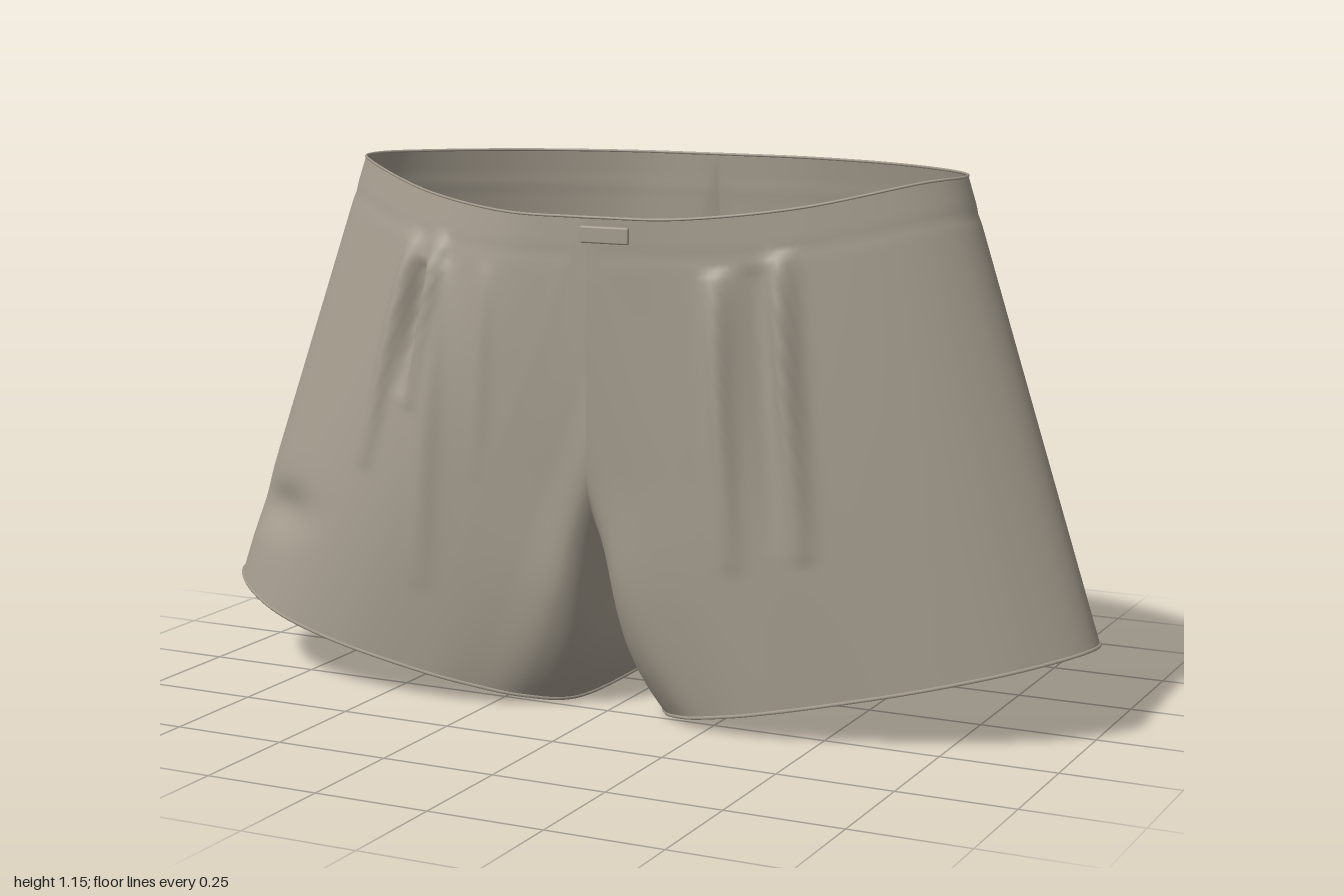
import * as THREE from 'three';
import { mergeVertices, mergeGeometries } from 'three/addons/utils/BufferGeometryUtils.js';
import { RoundedBoxGeometry } from 'three/addons/geometries/RoundedBoxGeometry.js';

const V = (x, y, z) => new THREE.Vector3(x, y, z);
const { smoothstep, lerp } = THREE.MathUtils;

// Waist height dips toward the front
const waistY = z => 1.155 - 0.083 * smoothstep(z, 0.08, 0.35);
// Hem height rises toward the outside of the leg
const hemY = x => x < 0.1 ? 0.026 : 0.004 + 0.196 * Math.pow(Math.min(1, (x - 0.07) / 0.93), 1.15);

// Half waist as [x, z], from back centre around the side to front centre
const WAIST = [[0, -0.3], [0.22, -0.29], [0.45, -0.22], [0.63, -0.1], [0.7, 0.02],
  [0.64, 0.13], [0.43, 0.245], [0.2, 0.325], [0, 0.345]];
// Centre seam as [y, z], from front waist through the crotch to back waist
const SEAM = [[waistY(0.345), 0.345], [0.76, 0.346], [0.5, 0.335], [0.34, 0.22], [0.27, 0],
  [0.33, -0.21], [0.48, -0.31], [0.8, -0.334], [waistY(-0.3), -0.3]];
// Leg openings as [x, z]: back, side, front, then the shared inner half
const INNER = [[0.19, 0.28], [0.105, 0.19], [0.06, 0], [0.105, -0.19], [0.19, -0.295], [0.27, -0.335]];
const HEM = {
  left: [[0.36, -0.36], [0.53, -0.335], [0.72, -0.27], [0.9, -0.155], [1, 0], [0.9, 0.14],
    [0.72, 0.235], [0.53, 0.285], [0.38, 0.31], [0.28, 0.305], ...INNER],
  right: [[0.36, -0.35], [0.53, -0.31], [0.74, -0.225], [0.93, -0.08], [1, 0.09], [0.95, 0.215],
    [0.8, 0.32], [0.62, 0.355], [0.42, 0.345], [0.3, 0.32], ...INNER],
};

const curve = (pts, closed = false) => new THREE.CatmullRomCurve3(pts, closed, 'catmullrom', 0.5);
const waistCurve = curve(WAIST.map(([x, z]) => V(x, waistY(z), z)));
const seamCurve = curve(SEAM.map(([y, z]) => V(0, y, z)));
const hemCurve = keys => curve(keys.map(([x, z]) => V(x, hemY(x), z)), true);
const hemCurves = { left: hemCurve(HEM.left), right: hemCurve(HEM.right) };

// Gathered folds on the front: [x0, y0, x1, y1, depth, width]
const FOLDS = [
  [-0.45, 1.01, -0.55, 0.5, 0.03, 0.022], [-0.37, 1.01, -0.43, 0.64, 0.032, 0.02],
  [-0.36, 0.96, -0.4, 0.25, 0.018, 0.03], [-0.24, 0.96, -0.26, 0.5, 0.008, 0.02],
  [-0.41, 0.95, -0.45, 0.66, -0.03, 0.02],
  [0.4, 1.01, 0.47, 0.38, 0.032, 0.022], [0.28, 0.97, 0.32, 0.35, 0.026, 0.025],
  [0.35, 0.98, 0.41, 0.4, -0.012, 0.025],
];
function foldDepth(x, y) {
  let d = 0;
  for (const [x0, y0, x1, y1, depth, width] of FOLDS) {
    const t = (y0 - y) / (y0 - y1);
    if (t <= 0 || t >= 1) continue;
    const off = (x - lerp(x0, x1, t)) / width;
    d += depth * Math.pow(Math.sin(Math.PI * Math.pow(t, 0.6)), 0.7) * Math.exp(-off * off);
  }
  // Creased dent low on the right leg
  const a = (x + 0.82) / 0.1, b = y - 0.37 - 0.1 * (x + 0.82);
  d -= 0.03 * Math.exp(-a * a - (b / 0.05) ** 2);
  return d;
}

// Cloth point: u runs around the leg, v from hem to waist and centre seam
function clothPoint(side, u, v) {
  const s = side === 'left' ? 1 : -1;
  const top = u <= 0.5 ? waistCurve.getPoint(u * 2) : seamCurve.getPoint(u * 2 - 1);
  const p = hemCurves[side].getPoint(u % 1).lerp(top, v);
  const swell = Math.sin(Math.PI * v);
  // Legs round out toward each other below the crotch; the centre above stays smooth
  const inner = u > 0.5 ? Math.sin(Math.PI * (u * 2 - 1)) ** 2 : 0;
  const smooth = lerp(1, smoothstep(p.x, 0, 0.4), smoothstep(p.y, 0.25, 0.55));
  const puff = p.z < 0 ? -0.026 : 0.008 + 0.025 * inner;
  p.z += swell * smooth * puff * smoothstep(Math.abs(p.z), 0.08, 0.3);
  p.x *= 1 - 0.4 * swell * inner * (1 - smoothstep(p.y, 0.3, 0.55));
  // Stitched groove below the waistband
  const g = (p.y - waistY(p.z) + 0.08) / 0.012;
  const pinch = 1 - 0.003 * Math.exp(-g * g);
  p.x *= s * pinch;
  p.z *= pinch;
  if (p.z > 0.05) p.z += foldDepth(p.x, p.y) * smoothstep(p.z, 0.05, 0.18);
  return p;
}

// One half of the shorts as a grid of rings
function halfGeometry(side, nu = 240, nv = 84) {
  const pos = [], idx = [];
  for (let j = 0; j <= nv; j++)
    for (let i = 0; i <= nu; i++) pos.push(...clothPoint(side, i / nu, j / nv).toArray());
  for (let j = 0; j < nv; j++)
    for (let i = 0; i < nu; i++) {
      const a = j * (nu + 1) + i, b = a + 1, c = a + nu + 1, d = c + 1;
      if (side === 'left') idx.push(a, c, b, b, c, d);
      else idx.push(a, b, c, b, d, c);
    }
  const geo = new THREE.BufferGeometry();
  geo.setAttribute('position', new THREE.Float32BufferAttribute(pos, 3));
  geo.setIndex(idx);
  return geo;
}

export function createModel() {
  const model = new THREE.Group();
  model.name = 'shorts';
  const cloth = new THREE.MeshStandardMaterial({ color: 0xa39b8d, side: THREE.DoubleSide });
  cloth.name = 'taupe cloth';
  const add = (name, geo) => {
    const mesh = new THREE.Mesh(geo, cloth);
    mesh.name = name;
    model.add(mesh);
    return mesh;
  };

  // Body and legs, welded along the centre seam
  const body = mergeVertices(mergeGeometries([halfGeometry('left'), halfGeometry('right')]), 1e-5);
  body.computeVertexNormals();
  add('body', body);

  // Rolled edges of the leg openings
  for (const side of ['left', 'right']) {
    const pts = Array.from({ length: 64 }, (_, i) => clothPoint(side, i / 64, 0.003));
    add(side + 'Hem', new THREE.TubeGeometry(curve(pts, true), 128, 0.004, 6, true));
  }

  // Rolled edge of the waist
  const rim = [];
  for (let i = 0; i < 32; i++) rim.push(clothPoint('left', i / 64, 0.998));
  for (let i = 32; i > 0; i--) rim.push(clothPoint('right', i / 64, 0.998));
  add('waistRim', new THREE.TubeGeometry(curve(rim, true), 160, 0.003, 6, true));

  // Web of cloth joining the legs below the crotch
  const web = new THREE.Shape([[-0.036, 0.08], [0.036, 0.08], [0.016, 0.155], [0, 0.265], [-0.016, 0.155]]
    .map(([x, y]) => new THREE.Vector2(x, y)));
  add('crotchWeb', new THREE.ExtrudeGeometry(web, { depth: 0.04, bevelEnabled: false })).position.z = -0.02;

  // Small fastening tab at the front of the waistband
  add('waistTab', new RoundedBoxGeometry(0.11, 0.035, 0.01, 2, 0.004)).position.set(0.045, 1.035, 0.345);

  return model;
}
